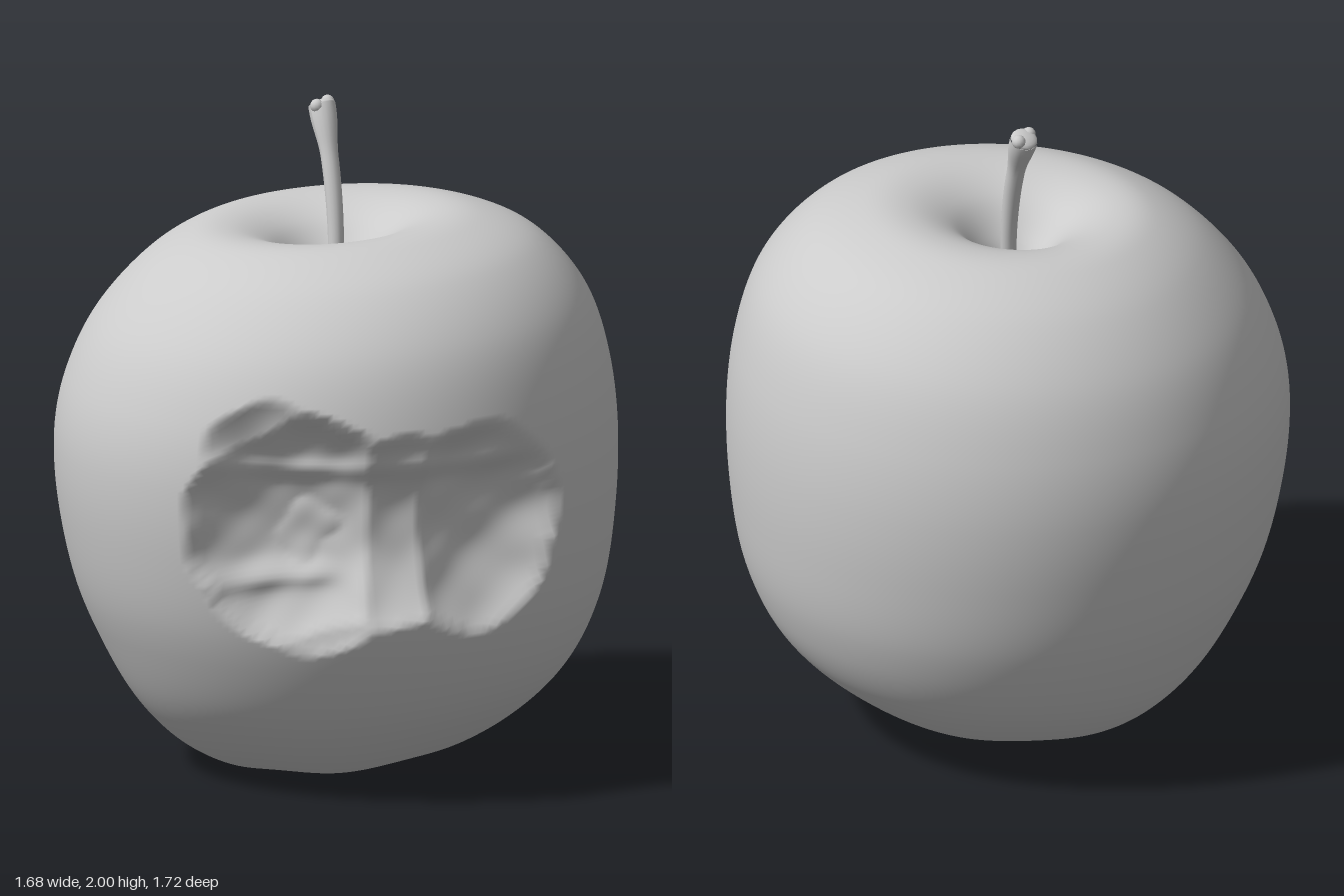
import * as THREE from 'three';

const V2 = (x, y) => new THREE.Vector2(x, y);
const V3 = (x, y, z) => new THREE.Vector3(x, y, z);
const smooth = THREE.MathUtils.smoothstep;
const rad = THREE.MathUtils.degToRad;

// Half outline of the fruit (radius, height), from calyx hollow to stem hollow
const outline = new THREE.SplineCurve([
  V2(0, 0.14), V2(0.06, 0.125), V2(0.13, 0.07), V2(0.22, 0.032), V2(0.34, 0.055), V2(0.5, 0.155),
  V2(0.64, 0.31), V2(0.76, 0.54), V2(0.825, 0.78), V2(0.846, 1.0), V2(0.82, 1.22), V2(0.745, 1.42),
  V2(0.605, 1.58), V2(0.44, 1.663), V2(0.31, 1.673), V2(0.19, 1.625), V2(0.1, 1.53), V2(0.045, 1.45), V2(0, 1.42),
]);

// Each bite is a ball pressed into the side: azimuth, height and opening half-angle
const core = V3(0, 0.9, 0);
const SKIN = 0.855, REACH = 1.15;
const bites = [[42, 0.89, 24], [49, 1.07, 13], [38, 0.68, 12], [22, 0.88, 19.5], [3, 0.88, 20.5]].map(([az, y, half]) => ({
  c: V3(Math.cos(rad(az)), (y - core.y) / SKIN, Math.sin(rad(az))).setLength(REACH),
  s: Math.sqrt(SKIN ** 2 + REACH ** 2 - 2 * SKIN * REACH * Math.cos(rad(half))),
}));

// Uneven lumps for the torn flesh
const lumps = (p) => Math.sin(p.x * 13 + p.y * 17) * Math.sin(p.z * 15 - p.y * 9)
  + 0.4 * Math.sin(p.y * 31 + p.z * 23) * Math.sin(p.x * 27 + 1);

// Pull a point back along its ray from the core to the nearest bite surface
function carve(p) {
  const dir = p.clone().sub(core);
  const skin = dir.length();
  dir.normalize();
  const n = lumps(p);
  let r = skin;
  for (const { c, s } of bites) {
    const along = dir.dot(c);
    const k = along * along - REACH ** 2 + (s + 0.012 * n) ** 2;
    if (along > 0 && k > 0) r = Math.min(r, along - Math.sqrt(k));
  }
  if (r < skin) {
    // flattened floor with tooth ridges
    const ridge = 0.03 * Math.exp(-(((p.y - 0.7) / 0.04) ** 2)) * smooth(p.z, 0.4, 0.55)
      + 0.02 * Math.exp(-(((p.y - 1.1) / 0.035) ** 2));
    r = Math.min(skin, Math.max(r, 0.655) + ridge + 0.008 * n);
  }
  p.copy(core).addScaledVector(dir, r);
}

function bodyGeometry() {
  const rows = 190, cols = 260, pos = [], index = [];
  const profile = outline.getSpacedPoints(rows);
  for (const q of profile) {
    for (let j = 0; j < cols; j++) {
      const a = (j / cols) * Math.PI * 2;
      // slightly uneven plan, flatter towards front left, bulging at back right
      const plan = 1 + 0.008 * (1 - Math.cos(2 * a))
        - 0.035 * Math.max(0, Math.cos(a - 2.4)) ** 6 + 0.018 * Math.max(0, Math.cos(a + 0.45)) ** 3;
      const r = Math.max(0, q.x) * plan;
      const p = V3(r * Math.cos(a), q.y, r * Math.sin(a));
      // leaning shoulders and lobed underside
      const top = smooth(q.y, 1.0, 1.65), low = 1 - smooth(q.y, 0.03, 0.45);
      p.y += top * (0.025 * p.x - 0.06 * p.z);
      p.y += low * (0.03 * p.x - 0.06 * p.z + 0.005 * Math.cos(5 * a + 0.6) * smooth(r, 0.05, 0.2));
      // fuller at back and right, above and below
      const lean = Math.cos(a + 0.9);
      const base = (1 - smooth(q.y, 0.05, 1.0)) * smooth(r, 0.1, 0.4);
      const push = 1 + 0.03 * top * (lean - 0.3) * smooth(r, 0.3, 0.6) + base * (0.06 + 0.045 * lean);
      p.x *= push;
      p.z *= push;
      carve(p);
      pos.push(p.x, p.y, p.z);
    }
  }
  for (let i = 0; i < rows; i++) {
    for (let j = 0; j < cols; j++) {
      const a = i * cols + j, b = i * cols + ((j + 1) % cols);
      index.push(a, a + cols, b, b, a + cols, b + cols);
    }
  }
  const g = new THREE.BufferGeometry();
  g.setAttribute('position', new THREE.Float32BufferAttribute(pos, 3));
  g.setIndex(index);
  g.computeBoundingBox();
  g.translate(0, -g.boundingBox.min.y, 0);
  g.computeVertexNormals();
  return g;
}

// Tube whose radius follows a function of its length
function taperedTube(points, radius, steps, sides) {
  const path = new THREE.CatmullRomCurve3(points);
  const g = new THREE.TubeGeometry(path, steps, 1, sides);
  const p = g.attributes.position, v = V3(0, 0, 0);
  for (let i = 0; i < p.count; i++) {
    const t = Math.floor(i / (sides + 1)) / steps;
    const c = path.getPointAt(t);
    v.fromBufferAttribute(p, i).sub(c).multiplyScalar(radius(t)).add(c);
    p.setXYZ(i, v.x, v.y, v.z);
  }
  g.computeVertexNormals();
  return g;
}

export function createModel() {
  const group = new THREE.Group();
  const mat = new THREE.MeshStandardMaterial({ color: 0xcccccc });
  const add = (name, geometry, parent = group) => {
    const m = new THREE.Mesh(geometry, mat);
    m.name = name;
    parent.add(m);
    return m;
  };

  add('bittenFruit', bodyGeometry());

  // Bent stem, widening to a knobbly end
  add('stem', taperedTube(
    [V3(0.005, 1.36, -0.015), V3(-0.02, 1.6, -0.035), V3(-0.05, 1.75, -0.045), V3(-0.09, 1.87, -0.055), V3(-0.142, 1.975, -0.07)],
    (t) => 0.022 + 0.007 * t + 0.013 * smooth(t, 0.75, 0.97), 32, 16));
  const tip = add('stemTip', new THREE.SphereGeometry(0.042, 16, 10));
  tip.position.set(-0.142, 1.975, -0.07);
  tip.rotation.z = 0.46;
  tip.scale.set(0.95, 0.4, 1);
  [-1, 1].forEach((s) => {
    const knob = add('stemKnob', new THREE.SphereGeometry(0.021, 12, 8));
    knob.position.set(-0.14 + 0.012 * s, 1.979, -0.07 + 0.028 * s);
  });

  // Dried sepals curling out of the hollow underneath
  const calyx = new THREE.Group();
  calyx.name = 'calyx';
  for (let i = 0; i < 5; i++) {
    const sepal = add('sepal', taperedTube(
      [V3(0.01, 0.15, 0), V3(0.025, 0.1, 0), V3(0.055, 0.075, 0.005), V3(0.085, 0.08, 0.012)],
      (t) => 0.018 * (1 - 0.75 * t * t), 10, 8), calyx);
    sepal.rotation.y = (i / 5) * Math.PI * 2 + 0.3;
  }
  group.add(calyx);
  return group;
}
